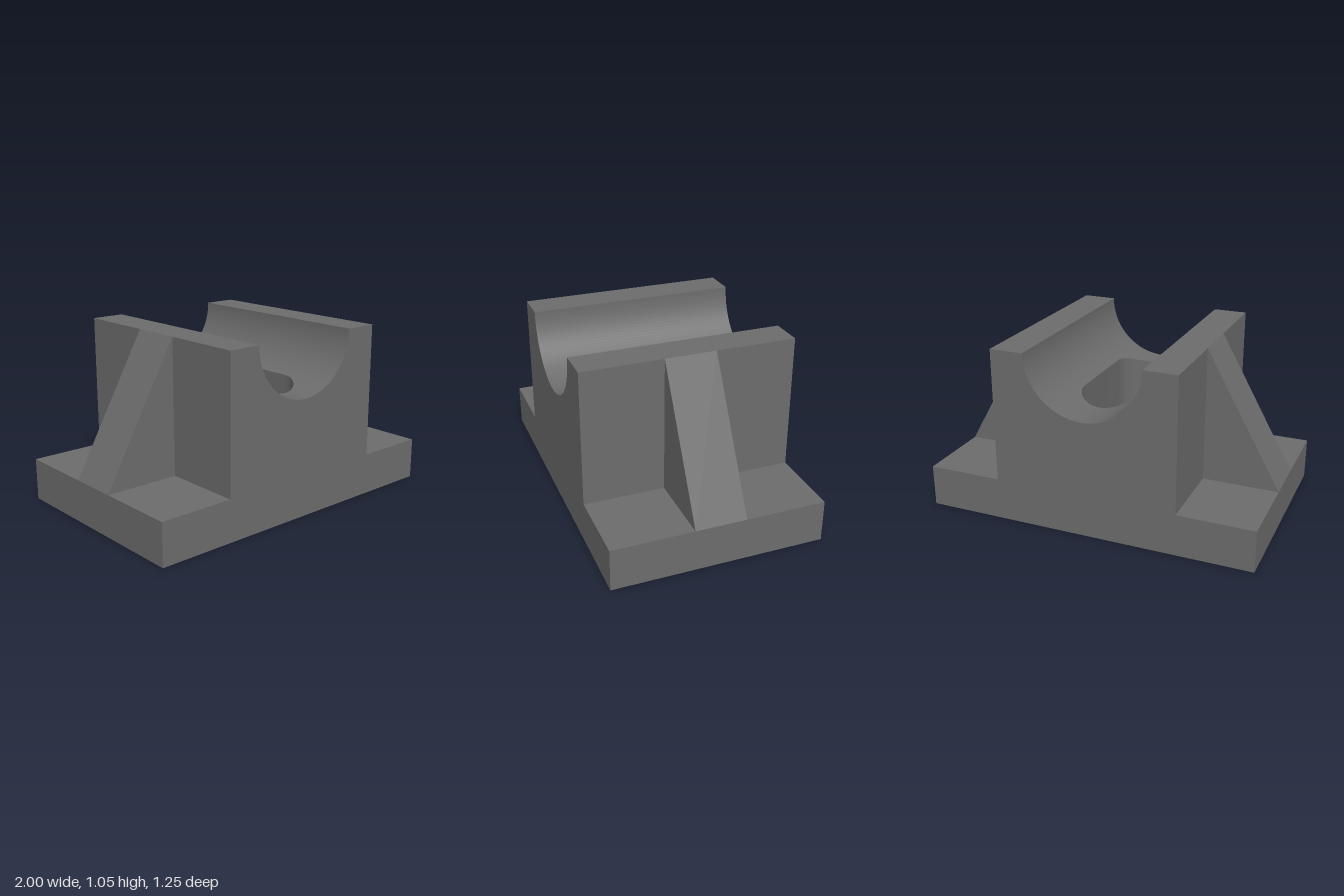
import * as THREE from 'three';
import { toCreasedNormals } from 'three/addons/utils/BufferGeometryUtils.js';

const W = 1, D = 0.625;                  // half width and half depth
const BASE = 0.25, TOP = 1.05;           // heights of the foot and the block
const BLOCK = 0.55, TROUGH = 0.35;       // half width of the block, trough radius
const SLOT = 0.175, SLOT_BACK = -0.2125, SLOT_FRONT = 0.2875; // slot radius, arc centres

// Height of the block, with the round trough cut along z
const blockTop = x => TOP - Math.sqrt(Math.max(0, TROUGH * TROUGH - x * x));
// Reach of the slot's rounded ends past their arc centres
const slotReach = x => Math.sqrt(Math.max(0, SLOT * SLOT - x * x));

// Positions across x: the slot and the trough are each divided by angle
function stations() {
  const half = [];
  for (let i = 0; i <= 16; i++) half.push(SLOT * Math.sin(i / 16 * Math.PI / 2));
  for (let i = 1; i <= 20; i++) half.push(TROUGH * Math.cos((1 - i / 20) * Math.PI / 3));
  half.push(BLOCK, W);
  return [...half.slice(1).reverse().map(x => -x), ...half];
}

function bodyGeometry() {
  const pos = [];
  const quad = (a, b, c, d) => pos.push(...a, ...b, ...c, ...a, ...c, ...d);

  // Upright face across z
  const acrossZ = (a, b, ya, yb, za, zb, facesFront) => {
    const p = [[a, 0, za], [b, 0, zb], [b, yb, zb], [a, ya, za]];
    quad(...(facesFront ? p : p.reverse()));
  };
  // Top and bottom between two z limits
  const cover = (a, b, ya, yb, backA, backB, frontA, frontB) => {
    quad([a, ya, frontA], [b, yb, frontB], [b, yb, backB], [a, ya, backA]);
    quad([a, 0, backA], [b, 0, backB], [b, 0, frontB], [a, 0, frontA]);
  };
  // Upright face across x
  const acrossX = (x, y0, y1, z0, z1, dir) => {
    const p = [[x, y0, z1], [x, y0, z0], [x, y1, z0], [x, y1, z1]];
    quad(...(dir > 0 ? p : p.reverse()));
  };

  const xs = stations();
  for (let i = 0; i < xs.length - 1; i++) {
    const a = xs[i], b = xs[i + 1], mid = Math.abs(a + b) / 2;
    const foot = mid > BLOCK;
    const ya = foot ? BASE : blockTop(a), yb = foot ? BASE : blockTop(b);
    acrossZ(a, b, ya, yb, D, D, true);
    acrossZ(a, b, ya, yb, -D, -D, false);
    if (mid < SLOT) {
      const ra = slotReach(a), rb = slotReach(b);
      const fa = SLOT_FRONT + ra, fb = SLOT_FRONT + rb;
      const ka = SLOT_BACK - ra, kb = SLOT_BACK - rb;
      cover(a, b, ya, yb, fa, fb, D, D);
      cover(a, b, ya, yb, -D, -D, ka, kb);
      acrossZ(a, b, ya, yb, fa, fb, false);
      acrossZ(a, b, ya, yb, ka, kb, true);
    } else {
      cover(a, b, ya, yb, -D, -D, D, D);
    }
  }

  // Foot ends, block sides and straight slot walls
  for (const s of [-1, 1]) {
    acrossX(s * W, 0, BASE, -D, D, s);
    acrossX(s * BLOCK, BASE, TOP, -D, D, s);
    acrossX(s * SLOT, 0, blockTop(SLOT), SLOT_BACK, SLOT_FRONT, -s);
  }

  const geometry = new THREE.BufferGeometry();
  geometry.setAttribute('position', new THREE.Float32BufferAttribute(pos, 3));
  return toCreasedNormals(geometry, 0.5);
}

export function createModel() {
  const group = new THREE.Group();
  group.name = 'bearingBlock';
  const material = new THREE.MeshStandardMaterial({ color: 0x6c6c6c });

  const body = new THREE.Mesh(bodyGeometry(), material);
  body.name = 'body';
  group.add(body);

  // Triangular ribs bracing the block on both sides
  const triangle = new THREE.Shape([
    new THREE.Vector2(BLOCK, BASE),
    new THREE.Vector2(W, BASE),
    new THREE.Vector2(BLOCK, TOP),
  ]);
  const ribGeometry = new THREE.ExtrudeGeometry(triangle, { depth: 0.3, bevelEnabled: false });
  ribGeometry.translate(0, 0, -0.15);
  for (const side of ['left', 'right']) {
    const rib = new THREE.Mesh(ribGeometry, material);
    rib.name = side + 'Rib';
    if (side === 'right') rib.rotation.y = Math.PI;
    group.add(rib);
  }
  return group;
}
